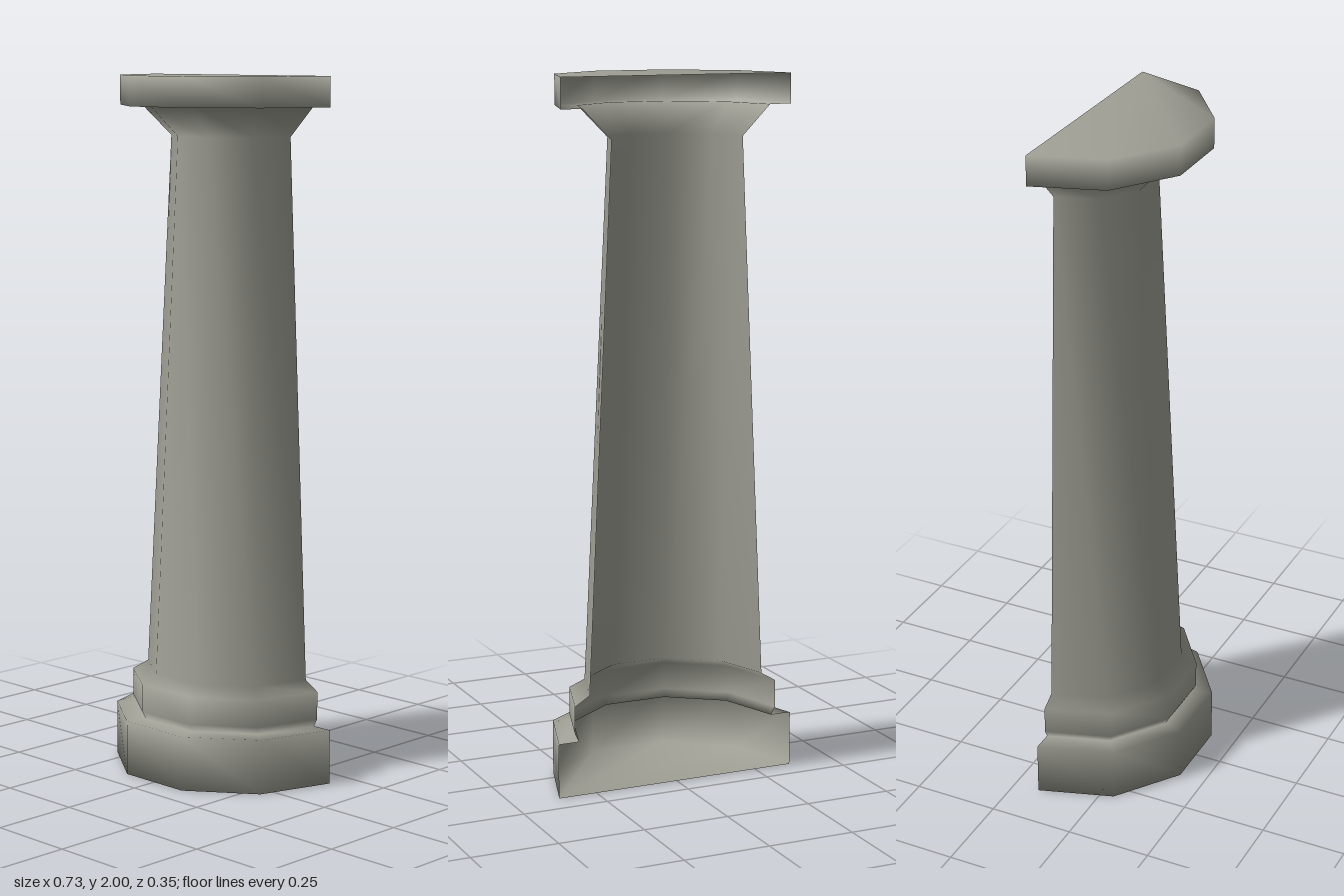
import * as THREE from 'three';

const SIDES = 5;          // half of a ten-sided column
const BACK_Z = -0.173;    // flat open back

// Column profile from the ground up: [radius, height]
const PROFILE = [
  [0.363, 0], [0.363, 0.157],                               // plinth
  [0.302, 0.157], [0.314, 0.18], [0.314, 0.26],             // base ring
  [0.269, 0.287], [0.197, 1.83],                            // tapering shaft
  [0.281, 1.915], [0.345, 1.915], [0.345, 2],               // flare and top slab
];

function halfColumnGeometry() {
  const positions = [];
  const index = [];
  const row = SIDES + 1;

  // Half rings of points, sweeping from +x through the front to -x
  for (const [r, y] of PROFILE) {
    for (let i = 0; i <= SIDES; i++) {
      const a = (i / SIDES) * Math.PI;
      positions.push(r * Math.cos(a), y, BACK_Z + r * Math.sin(a));
    }
  }

  // Outer walls between neighbouring rings
  for (let j = 0; j < PROFILE.length - 1; j++) {
    for (let i = 0; i < SIDES; i++) {
      const a = j * row + i, b = a + 1, c = a + row, d = c + 1;
      index.push(a, c, d, a, d, b);
    }
  }

  // Flat bottom and top, sharing the wall points for continuous smoothing
  const top = (PROFILE.length - 1) * row;
  for (let i = 1; i < SIDES; i++) {
    index.push(0, i, i + 1);
    index.push(top, top + i + 1, top + i);
  }

  const geometry = new THREE.BufferGeometry();
  geometry.setAttribute('position', new THREE.Float32BufferAttribute(positions, 3));
  geometry.setIndex(index);
  geometry.computeVertexNormals();
  return geometry;
}

export function createModel() {
  const group = new THREE.Group();
  group.name = 'halfColumn';

  const stone = new THREE.MeshStandardMaterial({ color: 0xa0a096, side: THREE.DoubleSide });
  stone.name = 'greyStone';

  const column = new THREE.Mesh(halfColumnGeometry(), stone);
  column.name = 'columnShell';
  group.add(column);
  return group;
}
